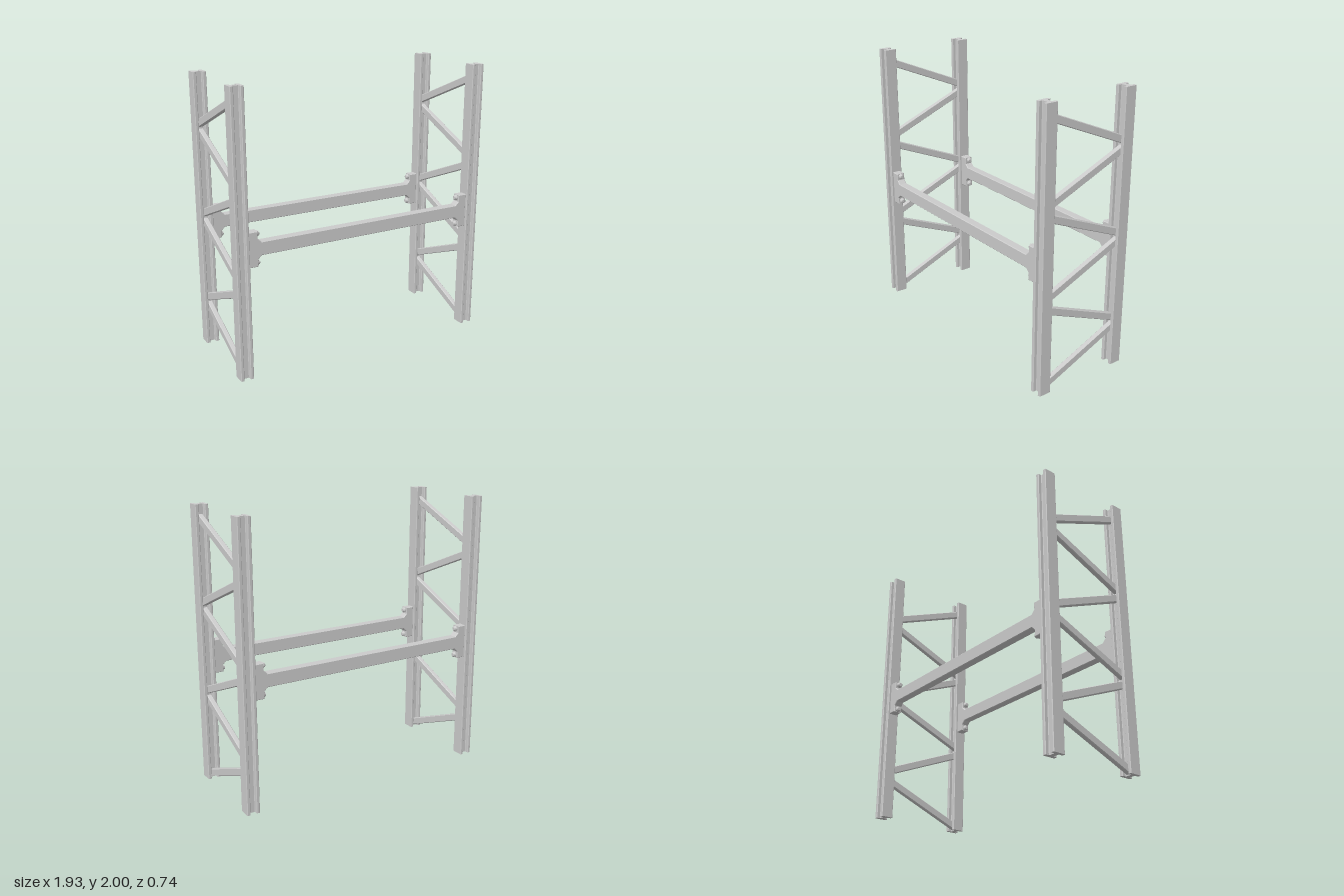
import * as THREE from 'three';

const H = 2, POST_X = 0.9185, POST_Z = 0.3225;

export function createModel() {
  const rack = new THREE.Group();
  rack.name = 'rackFrame';
  const mat = new THREE.MeshStandardMaterial({ color: 0xcccccc, flatShading: true });

  const add = (name, geo, x = 0, y = 0, z = 0) => {
    const mesh = new THREE.Mesh(geo, mat);
    mesh.name = name;
    mesh.position.set(x, y, z);
    rack.add(mesh);
    return mesh;
  };
  const shapeOf = (pts) => new THREE.Shape(pts.map(([x, y]) => new THREE.Vector2(x, y)));

  // H-section upright: one quarter of the outline, mirrored around
  const quarter = [[0, 0.0165], [0.019, 0.0165], [0.0225, 0.02], [0.0225, 0.041],
    [0.027, 0.0457], [0.043, 0.0457], [0.0475, 0.041]];
  const upper = [...quarter.slice().reverse(), ...quarter.slice(1).map(([x, z]) => [-x, z])];
  const section = [...upper, ...upper.map(([x, z]) => [-x, -z])];
  const postGeo = new THREE.ExtrudeGeometry(shapeOf(section), { depth: H, bevelEnabled: false });
  postGeo.rotateX(-Math.PI / 2);

  // Zigzag braces: ends trimmed upright against the webs
  const endZ = 0.308, rise = 0.128, halfT = 0.029, halfW = 0.018, bevel = 0.005;
  const braceGeo = (dir) => {
    const geo = new THREE.ExtrudeGeometry(shapeOf([
      [-endZ, -rise * dir - halfT + bevel], [endZ, rise * dir - halfT + bevel],
      [endZ, rise * dir + halfT - bevel], [-endZ, -rise * dir + halfT - bevel],
    ]), { depth: 2 * (halfW - bevel), bevelThickness: bevel, bevelSize: bevel, bevelSegments: 1 });
    geo.translate(0, 0, -(halfW - bevel));
    return geo.rotateY(-Math.PI / 2); // shape x becomes z
  };
  const braces = [braceGeo(-1), braceGeo(1)];

  // Beam with flared end plates, drawn as one outline
  const yMid = 0.922, end = [[0.78, 0.047], [0.806, 0.073], [0.806, 0.123], [0.871, 0.123]];
  const top = [...end.slice().reverse(), ...end.map(([x, y]) => [-x, y])];
  const beamShape = shapeOf([...top, ...top.map(([x, y]) => [-x, -y])]);
  const b = 0.004;
  const beamGeo = new THREE.ExtrudeGeometry(beamShape, {
    depth: 0.061 - 2 * b, bevelThickness: b, bevelSize: b, bevelOffset: -b, bevelSegments: 1,
  });
  beamGeo.translate(0, 0, -0.0305 + b);

  // Bolt: washer and head turned about one axis
  const boltGeo = new THREE.LatheGeometry([[0, 0], [0.021, 0], [0.021, 0.01], [0.016, 0.014],
    [0.016, 0.019], [0.012, 0.022], [0, 0.022]].map(([r, h]) => new THREE.Vector2(r, h)), 12);
  boltGeo.rotateZ(Math.PI / 2); // head points towards -x

  for (const sx of [-1, 1]) {
    for (const sz of [-1, 1]) {
      add('upright', postGeo, sx * POST_X, 0, sz * POST_Z);
      for (const dy of [-0.101, 0.101]) {
        const bolt = add('bolt', boltGeo, sx * 0.808, yMid + dy, sz * POST_Z);
        if (sx < 0) bolt.rotation.y = Math.PI;
      }
    }
    for (let i = 0; i < 6; i++) {
      // Bars alternate in slope while climbing the side frame
      add('brace', braces[i % 2], sx * POST_X, 0.163 + i * 0.3225, 0);
    }
  }
  for (const sz of [-1, 1]) add('crossBeam', beamGeo, 0, yMid, sz * POST_Z);

  return rack;
}
